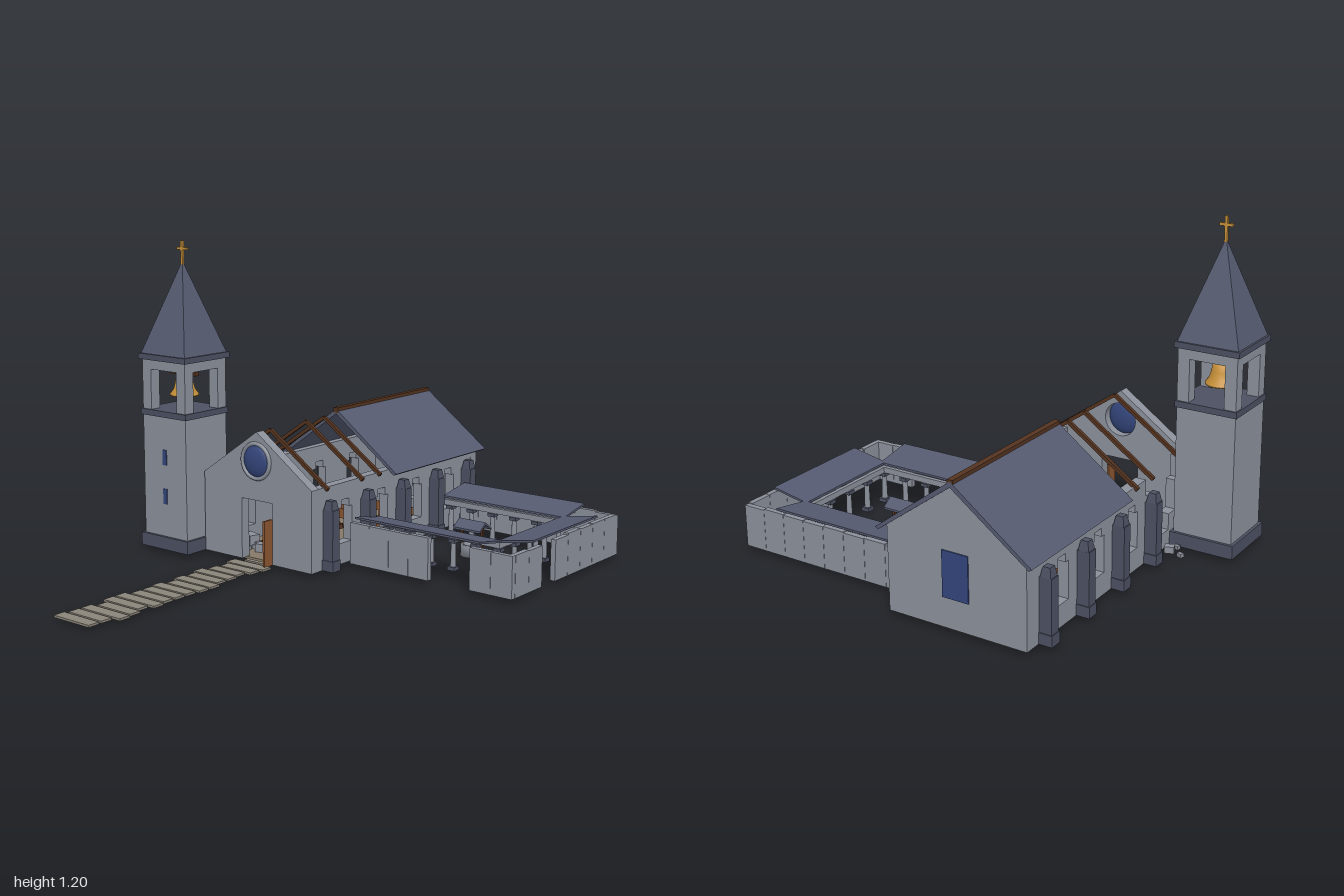
import * as THREE from 'three';

const mat = (name, color) => {
  const m = new THREE.MeshStandardMaterial({ color });
  m.name = name;
  return m;
};

export function createModel() {
  const stone = mat('stone', 0x8b909b), trim = mat('darkStone', 0x4c5062), slate = mat('slate', 0x555a70);
  const floorMat = mat('floorEarth', 0x857968), paving = mat('paving', 0x8a8479);
  const darkWood = mat('darkWood', 0x54331f), wood = mat('wood', 0x8a5530);
  const brass = mat('brass', 0xc8923a), glass = mat('blueGlass', 0x33457a), iron = mat('iron', 0x35302c);
  const model = new THREE.Group();
  model.name = 'ruinedAbbey';

  let seed = 7;
  const rnd = () => (seed = (seed * 16807) % 2147483647) / 2147483647;
  const group = (name) => {
    const g = new THREE.Group();
    g.name = name;
    model.add(g);
    return g;
  };
  const add = (parent, name, geo, m, x = 0, y = 0, z = 0) => {
    const mesh = new THREE.Mesh(geo, m);
    mesh.name = name;
    mesh.position.set(x, y, z);
    parent.add(mesh);
    return mesh;
  };
  // Box given by its limits on each axis
  const box = (p, name, m, x0, x1, y0, y1, z0, z1) =>
    add(p, name, new THREE.BoxGeometry(x1 - x0, y1 - y0, z1 - z0), m, (x0 + x1) / 2, (y0 + y1) / 2, (z0 + z1) / 2);
  // Square bar between two points
  const bar = (p, name, m, a, b, t) => {
    const s = new THREE.Vector3(...a), e = new THREE.Vector3(...b);
    const mesh = add(p, name, new THREE.BoxGeometry(t, t, s.distanceTo(e)), m);
    mesh.position.copy(s).lerp(e, 0.5);
    mesh.lookAt(e);
    return mesh;
  };
  const shape = (pts) => new THREE.Shape(pts.map(([x, y]) => new THREE.Vector2(x, y)));
  const extrude = (s, depth) => new THREE.ExtrudeGeometry(s, { depth, bevelEnabled: false, curveSegments: 24 });
  const BASE = 0.02, CX = -0.244;

  // ---- Bell tower ----
  const tower = group('bellTower');
  tower.position.set(-0.631, 0, 0.063);
  const slab = (name, m, h, y0, y1) => box(tower, name, m, -h, h, y0, y1, -h, h);
  slab('towerPlinth', trim, 0.123, BASE, 0.07);
  slab('towerShaft', stone, 0.112, 0.07, 0.537);
  slab('belfryFloor', trim, 0.118, 0.537, 0.56);
  slab('spireCornice', trim, 0.123, 0.752, 0.774);
  for (const sx of [-1, 1]) {
    for (const sz of [-1, 1])
      add(tower, 'belfryPost', new THREE.BoxGeometry(0.045, 0.155, 0.045), stone, sx * 0.0895, 0.6375, sz * 0.0895);
    add(tower, 'belfryLintel', new THREE.BoxGeometry(0.045, 0.037, 0.224), stone, sx * 0.0895, 0.7335, 0);
    add(tower, 'belfryLintel', new THREE.BoxGeometry(0.134, 0.037, 0.045), stone, 0, 0.7335, sx * 0.0895);
  }
  const spire = new THREE.ConeGeometry(0.115 * Math.SQRT2, 0.35, 4, 1).toNonIndexed();
  spire.rotateY(Math.PI / 4);
  spire.computeVertexNormals();
  add(tower, 'spire', spire, slate, 0, 0.949, 0);
  box(tower, 'crossUpright', brass, -0.005, 0.005, 1.11, 1.2, -0.005, 0.005);
  box(tower, 'crossArm', brass, -0.025, 0.025, 1.165, 1.175, -0.005, 0.005);
  for (const y of [0.228, 0.381]) box(tower, 'slitWindow', glass, -0.01, 0.01, y - 0.03, y + 0.03, 0.11, 0.115);
  box(tower, 'bellBeam', darkWood, -0.068, 0.068, 0.688, 0.704, -0.01, 0.01);
  const bellProfile = [[0, 0.69], [0.02, 0.688], [0.031, 0.678], [0.036, 0.655], [0.042, 0.632], [0.056, 0.614], [0.055, 0.608], [0.046, 0.613], [0, 0.67]];
  const bellGeo = new THREE.LatheGeometry(bellProfile.reverse().map(([x, y]) => new THREE.Vector2(x, y)), 28);
  const bell = add(tower, 'bell', bellGeo, brass);
  bell.material = brass;
  brass.side = THREE.DoubleSide;
  add(tower, 'clapper', new THREE.SphereGeometry(0.009, 12, 8), iron, 0, 0.606, 0);

  // ---- Church walls ----
  const church = group('church');
  box(church, 'churchFloor', floorMat, -0.49, 0, 0.012, 0.022, -0.97, 0.06);
  // Front gable with doorway and round window
  const front = shape([[-0.265, BASE], [-0.075, BASE], [-0.075, 0.255], [0.075, 0.255], [0.075, BASE], [0.265, BASE], [0.265, 0.33], [0, 0.515], [-0.265, 0.33]]);
  const hole = new THREE.Path();
  hole.absarc(0, 0.405, 0.062, 0, Math.PI * 2, true);
  front.holes.push(hole);
  add(church, 'frontGable', extrude(front, 0.04), stone, CX, 0, 0.045);
  add(church, 'roseRing', new THREE.TorusGeometry(0.066, 0.008, 8, 40), stone, CX, 0.405, 0.087);
  const rose = add(church, 'roseWindow', new THREE.SphereGeometry(0.063, 32, 20), glass, CX, 0.405, 0.08);
  rose.scale.z = 0.38;
  // Back gable and its window
  const back = shape([[-0.265, BASE], [0.265, BASE], [0.265, 0.33], [0, 0.515], [-0.265, 0.33]]);
  add(church, 'backGable', extrude(back, 0.04), stone, CX, 0, -0.98);
  box(church, 'backWindow', glass, CX - 0.05, CX + 0.05, 0.127, 0.29, -0.984, -0.936);

  // Side walls drawn along the nave, with stepped arch windows
  const sideWall = (name, x, outline, windows) => {
    const s = shape(outline);
    for (const u of windows)
      s.holes.push(new THREE.Path([[-0.04, 0.1], [-0.04, 0.235], [-0.022, 0.235], [-0.022, 0.265], [0.022, 0.265], [0.022, 0.235], [0.04, 0.235], [0.04, 0.1]]
        .map(([a, y]) => new THREE.Vector2(u + a, y))));
    const g = extrude(s, 0.04);
    g.rotateY(Math.PI / 2);
    add(church, name, g, stone, x);
  };
  const bays = [0.112, 0.335, 0.558, 0.78];
  sideWall('wallLeft', -0.02, [[-0.045, BASE], [0.94, BASE], [0.94, 0.33], [-0.045, 0.33]], bays);
  sideWall('wallRight', -0.509, [[-0.045, BASE], [0.94, BASE], [0.94, 0.33], [0.24, 0.33], [0.24, 0.27], [0.2, 0.27], [0.2, 0.18],
    [0.16, 0.18], [0.16, 0.08], [0.07, 0.08], [0.07, 0.14], [0.02, 0.14], [0.02, 0.25], [-0.01, 0.25], [-0.01, 0.33], [-0.045, 0.33]], bays.slice(1));

  // Buttresses with tapered caps
  for (const sx of [-1, 1]) for (let i = sx < 0 ? 1 : 0; i < 5; i++) {
    const x = CX + sx * 0.288, z = -0.223 * i;
    box(church, 'buttress', trim, x - 0.023, x + 0.023, BASE, 0.25, z - 0.02, z + 0.02);
    box(church, 'buttressFoot', trim, x - 0.026, x + 0.026, BASE, 0.06, z - 0.023, z + 0.023);
    const cap = new THREE.CylinderGeometry(0.019, 0.028, 0.034, 4, 1).toNonIndexed();
    cap.rotateY(Math.PI / 4);
    cap.computeVertexNormals();
    add(church, 'buttressCap', cap, trim, x, 0.267, z);
  }

  // Remaining roof, ridge beam and bare rafters
  const roof = shape([[-0.297, 0.315], [-0.285, 0.308], [0, 0.515], [0.285, 0.308], [0.297, 0.315], [0, 0.535]]);
  add(church, 'naveRoof', extrude(roof, 0.615), slate, CX, 0, -1);
  box(church, 'ridgeBeam', darkWood, CX - 0.011, CX + 0.011, 0.52, 0.54, -0.999, -0.384);
  for (const z of [0.003, -0.205, -0.313]) for (const s of [-1, 1])
    bar(church, 'rafter', darkWood, [CX + s * 0.275, 0.322, z], [CX, 0.512, z], 0.013);

  // Open door leaf, fallen beam, pews and altar
  box(church, 'doorLeaf', wood, -0.176, -0.167, BASE, 0.195, 0.085, 0.13);
  bar(church, 'fallenBeam', darkWood, [-0.437, 0.012, -0.07], [-0.1, 0.115, -0.25], 0.018);
  for (const s of [-1, 1]) for (let i = s < 0 ? 0 : 1; i < 5; i++) {
    const x = CX + s * 0.116, z = -0.36 - 0.1 * i;
    box(church, 'pewSeat', wood, x - 0.07, x + 0.07, 0.045, 0.053, z - 0.014, z + 0.014);
    box(church, 'pewBack', wood, x - 0.07, x + 0.07, 0.045, 0.085, z + 0.008, z + 0.014);
    for (const e of [-0.06, 0.06]) box(church, 'pewLeg', wood, x + e - 0.005, x + e + 0.005, BASE, 0.045, z - 0.012, z + 0.012);
  }
  box(church, 'altar', stone, CX - 0.06, CX + 0.06, BASE, 0.09, -0.9, -0.85);

  // Rubble from the broken wall
  const rubble = group('rubble');
  for (const [x, z, s] of [[-0.59, -0.13, 0.02], [-0.54, -0.115, 0.035], [-0.55, -0.08, 0.02], [-0.43, -0.085, 0.06], [-0.46, -0.05, 0.04], [-0.37, -0.07, 0.03],
    [-0.32, -0.085, 0.045], [-0.29, -0.09, 0.035], [-0.315, -0.03, 0.05], [-0.365, -0.045, 0.025], [-0.38, -0.01, 0.025], [-0.47, -0.1, 0.05]]) {
    const b = add(rubble, 'fallenStone', new THREE.BoxGeometry(s, s * 0.7, s * 0.8), stone, x, BASE + s * 0.33, z);
    b.rotation.y = rnd() * 0.8 - 0.4;
  }

  // ---- Cloister ----
  const cloister = group('cloister');
  const height = () => 0.172 + rnd() * 0.008;
  for (let i = 0; i < 8; i++) {
    const x = 0.042 + i * 0.0885;
    if (i !== 4 && i !== 5) box(cloister, 'frontPanel', stone, x, x + 0.0875, BASE, height(), -0.135, -0.115);
    box(cloister, 'backPanel', stone, x, x + 0.0875, BASE, height(), -0.86, -0.84);
    const z = -0.135 - i * 0.0885;
    if (i !== 2) box(cloister, 'sidePanel', stone, 0.73, 0.75, BASE, height(), z - 0.0875, z);
  }
  // Lean-to roofs, high on the outside
  const leanTo = (name, length, x, z, angle) => {
    const g = extrude(shape([[-0.074, 0.162], [0.074, 0.188], [0.074, 0.196], [-0.074, 0.17]]), length);
    g.translate(0, 0, -length / 2);
    g.rotateY(angle);
    add(cloister, name, g, slate, x, 0, z);
  };
  leanTo('frontWalkRoof', 0.555, 0.325, -0.21, -Math.PI / 2);
  leanTo('backWalkRoof', 0.555, 0.325, -0.785, Math.PI / 2);
  leanTo('sideWalkRoof', 0.45, 0.662, -0.497, 0);

  // Colonnade around the court
  const column = (x, z) => {
    add(cloister, 'columnShaft', new THREE.CylinderGeometry(0.009, 0.011, 0.1, 12), stone, x, 0.083, z);
    box(cloister, 'columnBase', trim, x - 0.016, x + 0.016, BASE, 0.034, z - 0.016, z + 0.016);
    box(cloister, 'columnCapital', trim, x - 0.015, x + 0.015, 0.125, 0.138, z - 0.015, z + 0.015);
  };
  for (let i = 0; i < 6; i++) for (const z of [-0.29, -0.705]) column(0.09 + i * 0.0985, z);
  for (let i = 1; i < 4; i++) column(0.5825, -0.29 - i * 0.104);
  for (const z of [-0.29, -0.705]) box(cloister, 'walkBeam', stone, 0.045, 0.59, 0.138, 0.16, z - 0.008, z + 0.008);
  box(cloister, 'walkBeam', stone, 0.575, 0.59, 0.138, 0.16, -0.697, -0.298);

  // Well with a small gabled cover
  const well = group('well');
  well.position.set(0.33, 0, -0.497);
  const ring = [[0.032, 0.03], [0.032, 0.065], [0.045, 0.065], [0.045, 0.02], [0, 0.02], [0, 0.03], [0.032, 0.03]];
  add(well, 'wellWall', new THREE.LatheGeometry(ring.reverse().map(([x, y]) => new THREE.Vector2(x, y)), 16), stone).material = stone;
  stone.side = THREE.DoubleSide;
  for (const s of [-1, 1]) box(well, 'wellPost', darkWood, s * 0.045 - 0.005, s * 0.045 + 0.005, BASE, 0.135, -0.005, 0.005);
  const cover = extrude(shape([[-0.04, 0.122], [0, 0.148], [0.04, 0.122], [0.04, 0.13], [0, 0.158], [-0.04, 0.13]]), 0.12);
  cover.translate(0, 0, -0.06);
  cover.rotateY(Math.PI / 2);
  add(well, 'wellRoof', cover, slate);

  // ---- Paved path: left edge and right edge of each slab ----
  const path = group('path');
  box(path, 'doorStep', paving, -0.29, -0.18, 0.012, 0.024, 0.085, 0.105);
  [[-33, -15], [-31, -16], [-32, -18], [-34, -17], [-32, -17], [-33, -15], [-31, -15], [-33, -16],
    [-32, -16], [-32, -16], [-34, -15], [-34, -17], [-31, -15], [-33, -14], [-33, -17], [-34, -17]].forEach(([a, b], i) => {
    const z = 0.138 + i * 0.0557;
    box(path, 'pathSlab', paving, a / 100, b / 100, 0.014, 0.022, z - 0.023, z + 0.023);
  });
  return model;
}
